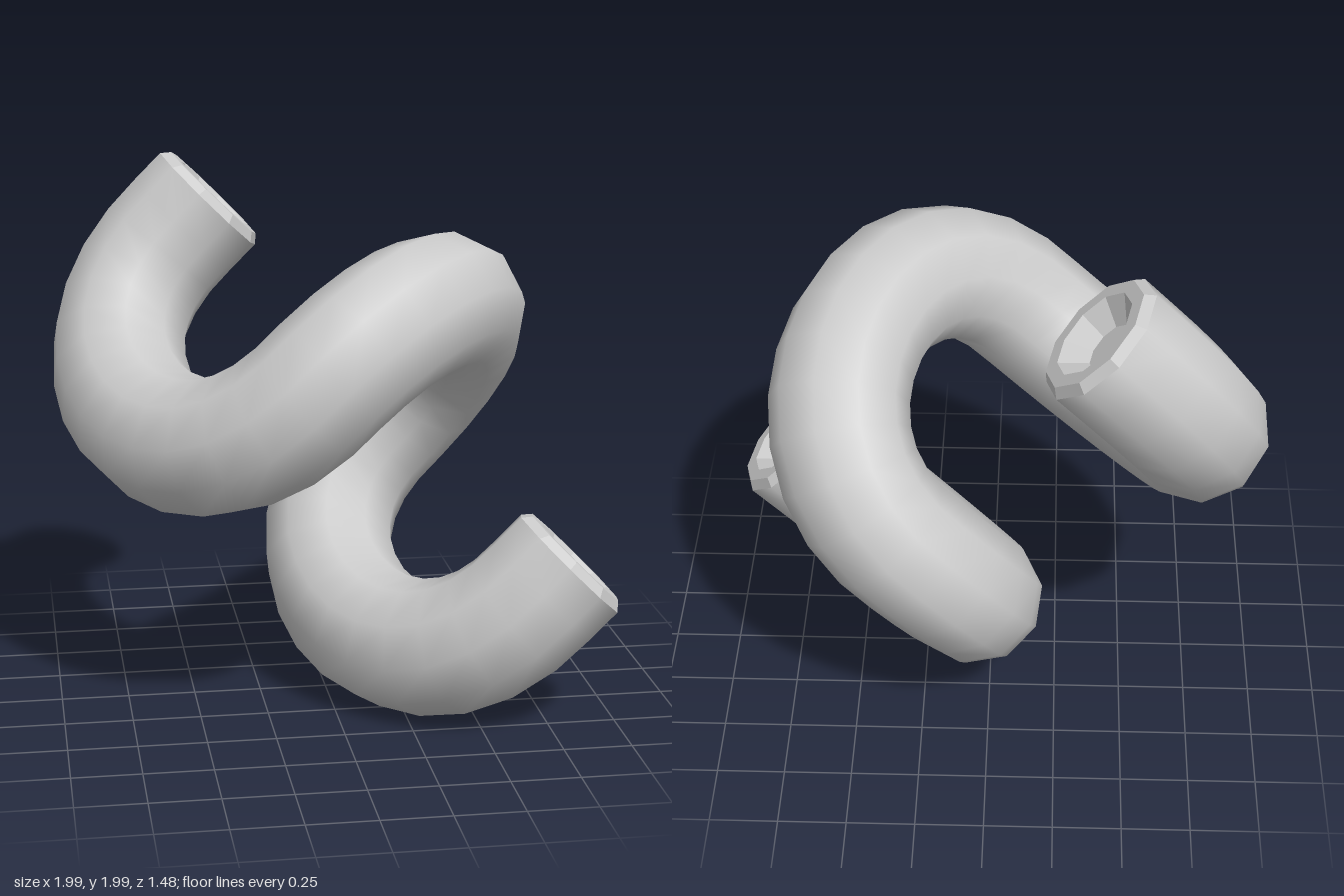
import * as THREE from 'three';

const SIDES = 10, STEPS = 42, RADIUS = 0.253;
const PITCH = 0.5633;          // travel along the coil axis per half turn
const START = -1.556, MID = 0.845, END = 1.02, HANDLE = 0.733, DEPTH = 0.49;

// coil axis runs diagonally down to the right; u is the diagonal up to the right
const at = (a, u, z) => new THREE.Vector3((a + u) * Math.SQRT1_2, (u - a) * Math.SQRT1_2, z);

// three U-bends, alternating down and up, with short straight ends
function coilPath() {
  const path = new THREE.CurvePath();
  path.add(new THREE.LineCurve3(at(START, END, -DEPTH), at(START, MID, -DEPTH)));
  for (let k = 0; k < 3; k++) {
    const s = k % 2 ? 1 : -1;
    const a0 = START + k * PITCH, a1 = a0 + PITCH, z = s * DEPTH;
    path.add(new THREE.CubicBezierCurve3(
      at(a0, MID, z), at(a0, MID + s * HANDLE, z),
      at(a1, MID + s * HANDLE, -z), at(a1, MID, -z)));
  }
  const a = START + 3 * PITCH;
  path.add(new THREE.LineCurve3(at(a, MID, DEPTH), at(a, END, DEPTH)));
  return path;
}

// smooth tube with welded rings
function tubeGeometry(path, frames) {
  const pos = [], index = [];
  for (let i = 0; i <= STEPS; i++) {
    const c = path.getPointAt(i / STEPS);
    for (let j = 0; j < SIDES; j++) {
      const t = Math.PI / 2 + (j / SIDES) * Math.PI * 2;
      const p = c.clone()
        .addScaledVector(frames.normals[i], RADIUS * Math.cos(t))
        .addScaledVector(frames.binormals[i], RADIUS * Math.sin(t));
      pos.push(p.x, p.y, p.z);
      if (i < STEPS) {
        const n = (j + 1) % SIDES, r = i * SIDES, q = r + SIDES;
        index.push(r + j, r + n, q + j, r + n, q + n, q + j);
      }
    }
  }
  const g = new THREE.BufferGeometry();
  g.setAttribute('position', new THREE.Float32BufferAttribute(pos, 3));
  g.setIndex(index);
  g.computeVertexNormals();
  return g;
}

export function createModel() {
  const group = new THREE.Group();
  group.name = 'coil';
  const path = coilPath();
  const frames = path.computeFrenetFrames(STEPS, false);

  const tube = new THREE.Mesh(tubeGeometry(path, frames),
    new THREE.MeshStandardMaterial({ color: 0xcccccc }));
  tube.name = 'coilTube';
  group.add(tube);

  // faceted end caps: bevel, rim, conical recess and floor
  const profile = [[RADIUS, 0], [0.225, 0.032], [0.172, 0.032], [0.095, -0.045], [0, -0.045]]
    .map(([r, y]) => new THREE.Vector2(r, y));
  const capGeometry = new THREE.LatheGeometry(profile, SIDES);
  const capMaterial = new THREE.MeshStandardMaterial({ color: 0xcccccc, flatShading: true });
  for (const [name, i, sign] of [['upperEndCap', 0, -1], ['lowerEndCap', STEPS, 1]]) {
    const out = frames.tangents[i].clone().multiplyScalar(sign);
    const corner = frames.binormals[i];
    const side = new THREE.Vector3().crossVectors(out, corner);
    const cap = new THREE.Mesh(capGeometry, capMaterial);
    cap.name = name;
    cap.quaternion.setFromRotationMatrix(new THREE.Matrix4().makeBasis(side, out, corner));
    cap.position.copy(path.getPointAt(i / STEPS));
    group.add(cap);
  }
  return group;
}
